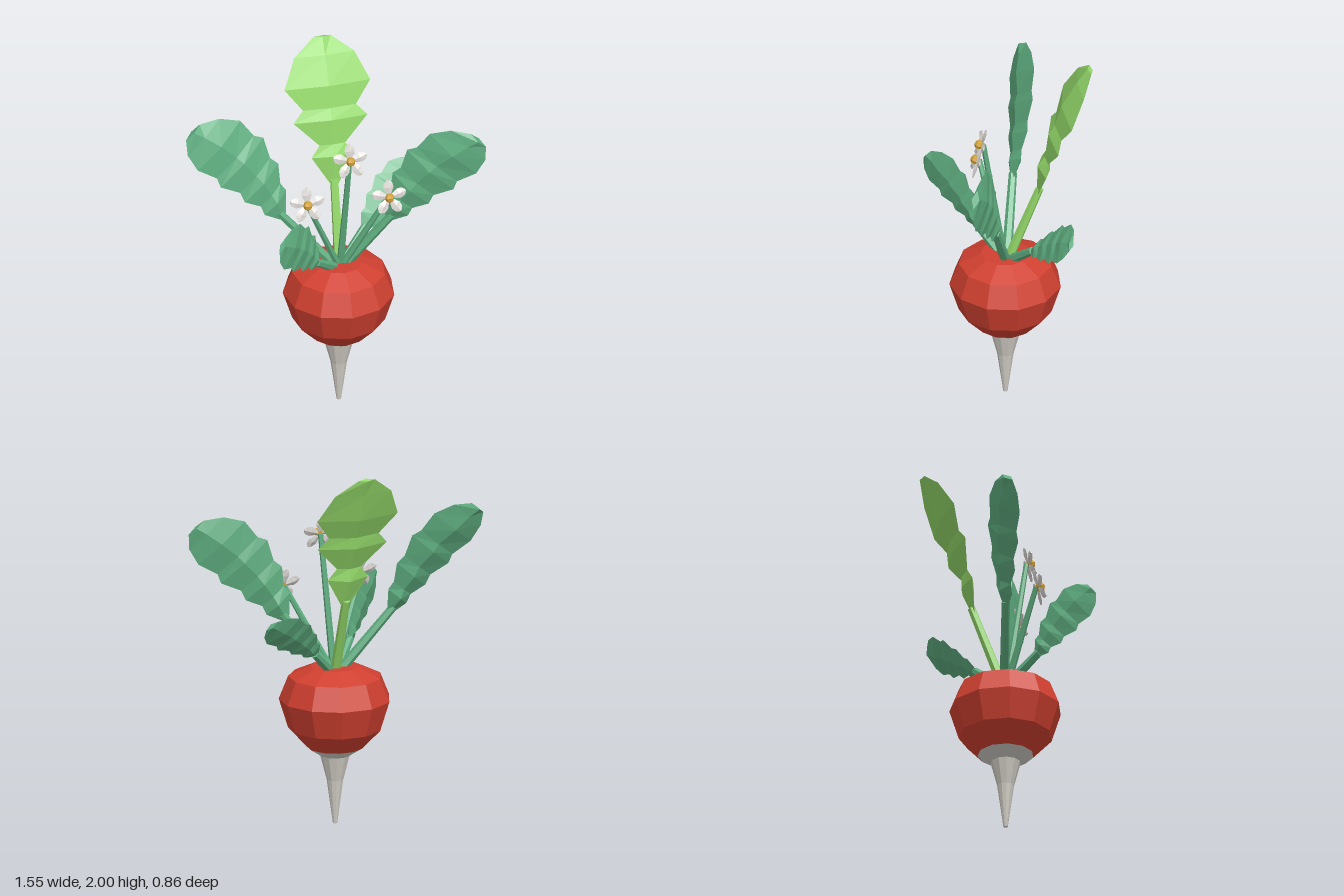
import * as THREE from 'three';

const paint = (name, color) => {
  const m = new THREE.MeshStandardMaterial({ color, flatShading: true });
  m.name = name;
  return m;
};
const V = (a) => new THREE.Vector3(...a);

// Outline rows: [distance along the blade, half width relative to the widest]
const LOBED = [[0, .09], [.2, .5], [.28, .3], [.45, .86], [.53, .62], [.68, 1], [.88, .7], [1, .2]];
const WAVY = [[0, .14], [.12, .5], [.19, .46], [.31, .78], [.39, .7], [.54, 1], [.61, .86], [.77, 1], [.91, .74], [1, .32]];
const PETAL = [[0, .4], [.5, 1], [.8, .85], [1, .25]];

// Blade with a diamond cross-section; side sets the width direction, bend bows the midrib
function bladeGeometry(base, tip, side, width, thick, rows, bend = [0, 0, 0]) {
  const a = V(base), b = V(tip), bow = V(bend);
  const u = b.clone().sub(a).normalize();
  const s = V(side);
  s.addScaledVector(u, -s.dot(u)).normalize();
  const n = u.clone().cross(s);
  const pos = [], idx = [];
  rows.forEach(([t, w], i) => {
    const c = a.clone().lerp(b, t).addScaledVector(bow, 4 * t * (1 - t));
    const h = thick * (i % 2 ? 1 : .62) * Math.min(1, w * 2);
    for (const [ds, dn] of [[w * width, 0], [0, h], [-w * width, 0], [0, -h]])
      pos.push(...c.clone().addScaledVector(s, ds).addScaledVector(n, dn).toArray());
  });
  const last = (rows.length - 1) * 4;
  for (let r = 0; r < last; r += 4)
    for (let j = 0; j < 4; j++) {
      const k = (j + 1) % 4;
      idx.push(r + j, r + k, r + 4 + k, r + j, r + 4 + k, r + 4 + j);
    }
  idx.push(0, 2, 1, 0, 3, 2, last, last + 1, last + 2, last, last + 2, last + 3);
  const g = new THREE.BufferGeometry();
  g.setAttribute('position', new THREE.Float32BufferAttribute(pos, 3));
  g.setIndex(idx);
  g.computeVertexNormals();
  return g;
}

export function createModel() {
  const red = paint('red skin', 0xd04030);
  const pale = paint('pale root', 0xd2cec6);
  const green = paint('leaf green', 0x5fae80);
  const lime = paint('lime green', 0x93d869);
  const white = paint('petal white', 0xdedad6);
  const gold = paint('gold', 0xd2a034);

  const model = new THREE.Group();
  model.name = 'radish';
  const add = (parent, name, geo, mat) => {
    const m = new THREE.Mesh(geo, mat);
    m.name = name;
    parent.add(m);
    return m;
  };
  const lathe = (pts) => new THREE.LatheGeometry(pts.map((p) => new THREE.Vector2(...p)), 11);

  // Tapered stem between two points
  const stem = (parent, name, from, to, r0, r1, mat) => {
    const a = V(from), b = V(to), d = b.clone().sub(a);
    const m = add(parent, name, new THREE.CylinderGeometry(r1, r0, d.length(), 6), mat);
    m.position.copy(a).add(b).multiplyScalar(.5);
    m.quaternion.setFromUnitVectors(new THREE.Vector3(0, 1, 0), d.normalize());
  };

  // Bulb and root
  const bulb = add(model, 'bulb', lathe([[.15, .42], [.25, .525], [.3, .685], [.25, .81], [.13, .865], [0, .865]]), red);
  const root = add(model, 'root', lathe([[0, 0], [.012, 0], [.045, .24], [.08, .375], [.15, .42]]), pale);
  for (const m of [bulb, root]) m.position.set(.025, 0, .035);

  // Leaves, each a stem and a blade
  const leaves = [
    { name: 'tallLeaf', mat: lime, base: [.045, 1.24, -.135], tip: [.045, 2, -.415], side: [1, 0, 0], w: .235, h: .036, rows: LOBED, bend: [0, .01, .035] },
    { name: 'leftLeaf', mat: green, base: [.28, 1.14, .105], tip: [.735, 1.65, .26], side: [-.5, .55, -.18], w: .17, h: .034, rows: WAVY, bend: [-.035, .04, -.01] },
    { name: 'rightLeaf', mat: green, base: [-.265, 1.15, -.03], tip: [-.735, 1.69, -.125], side: [.25, .22, -.11], w: .175, h: .034, rows: WAVY, bend: [.045, .04, -.01] },
    { name: 'smallRightLeaf', mat: green, base: [-.12, .955, .17], tip: [-.38, 1.25, .415], side: [.4, .65, -.4], w: .13, h: .024, rows: WAVY, bend: [.015, .02, -.015] },
    { name: 'smallLeftLeaf', mat: green, base: [.19, .97, -.085], tip: [.535, 1.215, -.27], side: [-.06, .18, -.12], w: .115, h: .022, rows: WAVY, bend: [-.005, .015, -.015] },
  ];
  for (const l of leaves) {
    const leaf = new THREE.Group();
    leaf.name = l.name;
    model.add(leaf);
    const foot = V([.03, .82, .03]).lerp(V([l.base[0], .82, l.base[2]]), .04).toArray();
    const end = V(l.base).lerp(V(l.tip), .04).toArray();
    stem(leaf, 'leafStem', foot, end, .028, .022, l.mat);
    add(leaf, 'blade', bladeGeometry(l.base, l.tip, l.side, l.w, l.h, l.rows, l.bend), l.mat);
  }

  // Flowers tilted slightly upward on thin stems
  for (const [x, y] of [[-.18, 1.325], [.055, 1.565], [.268, 1.305]]) {
    const flower = new THREE.Group();
    flower.name = 'flower';
    flower.position.set(x, y, .165);
    flower.rotation.x = -.32;
    model.add(flower);
    for (let i = 0; i < 5; i++) {
      const a = i * Math.PI * 2 / 5, c = Math.cos(a), s = Math.sin(a);
      add(flower, 'petal', bladeGeometry([s * .015, c * .015, 0], [s * .097, c * .097, .006], [c, -s, 0], .028, .01, PETAL), white);
    }
    const heart = add(flower, 'flowerCentre', new THREE.SphereGeometry(.026, 8, 4), gold);
    heart.position.z = .014;
    stem(model, 'flowerStem', [.03, .82, .04], [x, y, .155], .02, .014, green);
  }
  return model;
}
